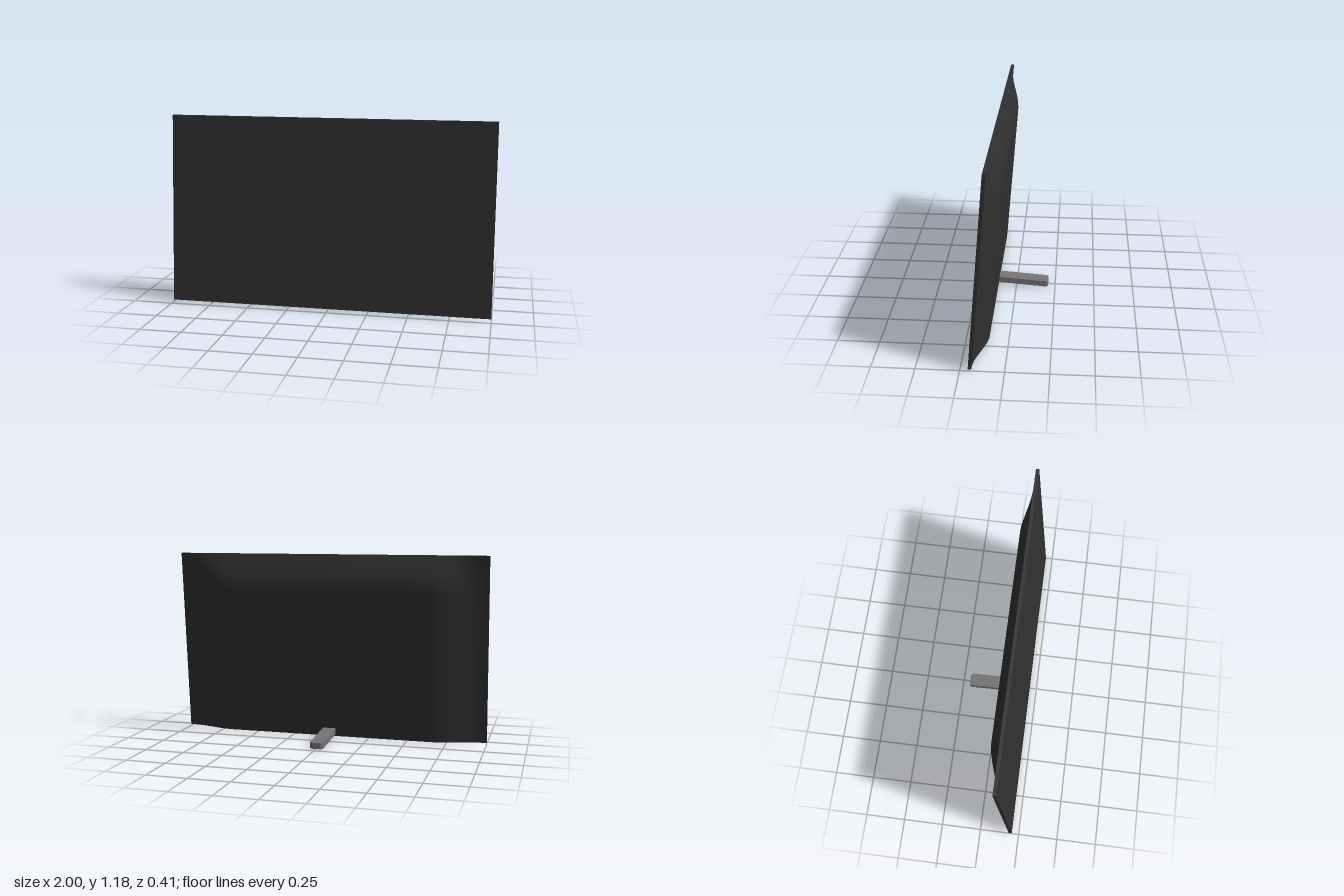
import * as THREE from 'three';

const BOTTOM = 0.01, TOP = 1.18, EDGE = 0.02, BULGE = 0.07;
// z of the leaning panel at height y, t behind the front face
const leanZ = (y, t) => 0.205 - 0.083 * (y - BOTTOM) - t;

// Bulge of the rear shell: fades out at both sides and at the top
function shellDepth(x, y) {
  const side = THREE.MathUtils.smoothstep(1 - Math.abs(x), 0.02, 0.34);
  const top = Math.sin(Math.PI / 2 * Math.min(1, (TOP - y) / 0.23));
  return EDGE + BULGE * side * top;
}

// Move every vertex (x, y, z) of a geometry to rule(x, y, z)
function bend(geometry, rule) {
  const p = geometry.attributes.position;
  for (let i = 0; i < p.count; i++) p.setXYZ(i, ...rule(p.getX(i), p.getY(i), p.getZ(i)));
  geometry.computeVertexNormals();
  return geometry;
}

export function createModel() {
  const model = new THREE.Group();
  const black = new THREE.MeshStandardMaterial({ color: 0x313131 });
  black.name = 'charcoal plastic';
  const grey = new THREE.MeshStandardMaterial({ color: 0x757575 });
  grey.name = 'grey metal';

  const add = (name, geometry, material) => {
    const mesh = new THREE.Mesh(geometry, material);
    mesh.name = name;
    model.add(mesh);
    return mesh;
  };
  const H = TOP - BOTTOM, midY = (TOP + BOTTOM) / 2;

  // Thin flat panel, leaning back with level top and bottom edges
  add('screenPanel', bend(new THREE.BoxGeometry(2, H, EDGE),
    (x, y, z) => [x, y + midY, leanZ(y + midY, EDGE / 2 - z)]), black);

  // Curved rear shell, facing backwards
  add('rearShell', bend(new THREE.PlaneGeometry(2, H, 80, 60), (x, y) => {
    const h = y + midY;
    return [-x, h, leanZ(h, shellDepth(x, h))];
  }), black);

  // Flat underside closing the shell
  add('shellUnderside', bend(new THREE.PlaneGeometry(2, 1, 80, 1), (x, y) => {
    const t = y > 0 ? EDGE : shellDepth(x, BOTTOM);
    return [x, BOTTOM, leanZ(BOTTOM, t)];
  }), black);

  // Support foot: a bar with rounded rear corners, sloping down to the ground
  const w = 0.042, r = 0.018, near = -0.11, far = 0.205;
  const bar = new THREE.Shape();
  bar.moveTo(-w, near);
  bar.lineTo(w, near);
  bar.lineTo(w, far - r);
  bar.absarc(w - r, far - r, r, 0, Math.PI / 2, false);
  bar.absarc(-w + r, far - r, r, Math.PI / 2, Math.PI, false);
  bar.closePath();
  const foot = new THREE.ExtrudeGeometry(bar, { depth: 0.038, bevelEnabled: false, curveSegments: 6 });
  foot.rotateX(-Math.PI / 2);
  add('supportFoot', bend(foot, (x, y, z) => [x, y + 0.075 * (z + far), z]), grey);

  return model;
}
